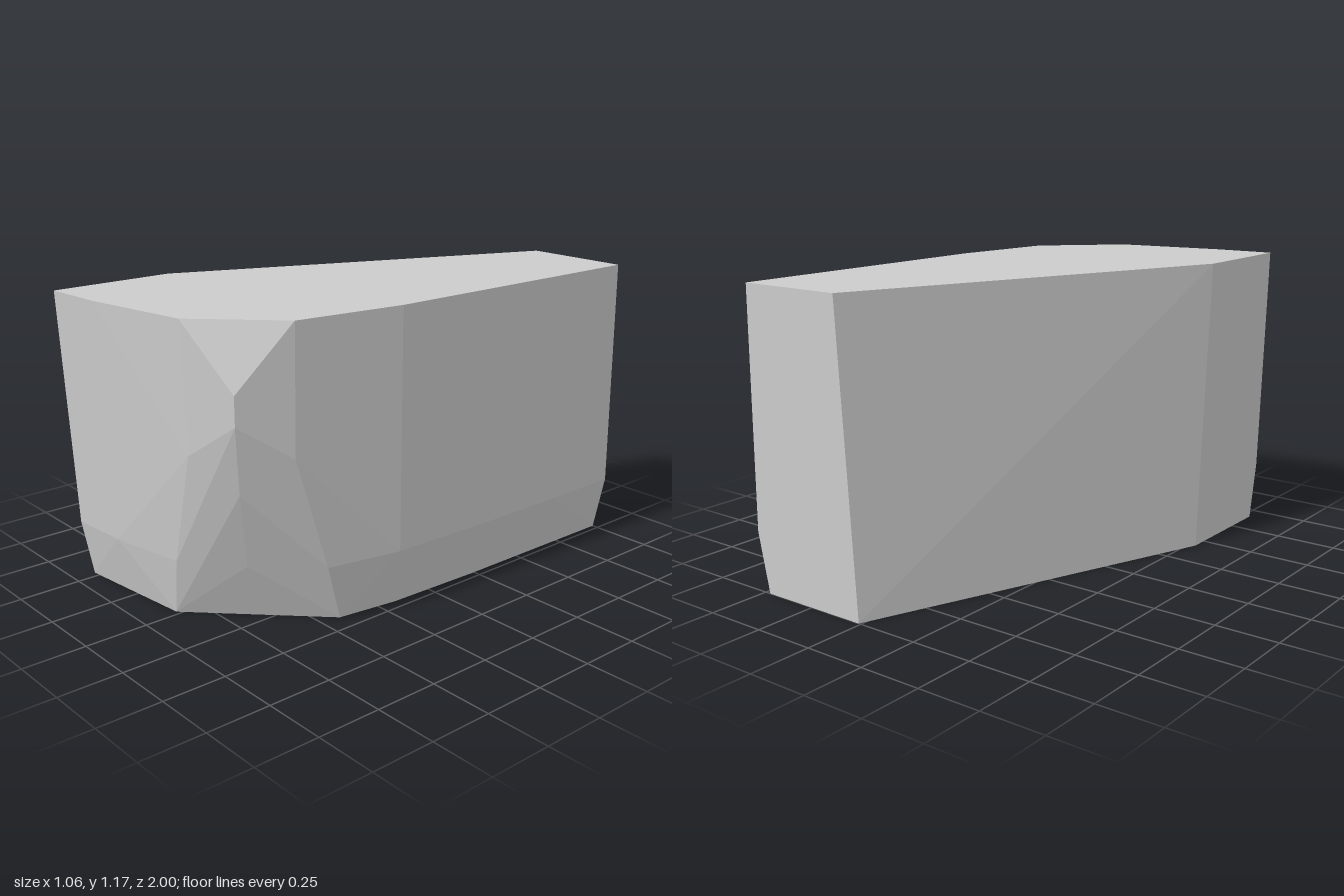
import * as THREE from 'three';
import { ConvexGeometry } from 'three/addons/geometries/ConvexGeometry.js';

const grey = new THREE.MeshStandardMaterial({ color: 0xcccccc });
grey.name = 'stone grey';

// Corners of the faceted block, grouped by height: y -> [x, z] pairs
const levels = [
  // base outline
  [0, [[-0.53, 0.91], [-0.02, 0.855], [0.42, 0.42], [0.455, 0.17], [0.47, -0.24],
    [0.475, -1], [0.01, -1], [-0.53, 0.43]]],
  // top of the lower bevel
  [0.235, [[-0.53, 0.955], [-0.28, 0.937], [0.04, 0.882], [0.25, 0.715], [0.45, 0.5],
    [0.51, 0.2], [0.525, -0.22], [0.53, -0.65], [0.525, -1]]],
  // faceted front corner
  [0.55, [[0.32, 0.79]]],
  [0.68, [[0.17, 0.897], [0.44, 0.635]]],
  [0.82, [[0.367, 0.835]]],
  [0.93, [[0.367, 0.835]]],
  // flat top outline
  [1.17, [[-0.53, 1], [-0.28, 0.983], [0.16, 0.907], [0.44, 0.63], [0.5, 0.19],
    [0.52, -1], [0.08, -1], [-0.53, 0.5]]],
];

export function createModel() {
  const group = new THREE.Group();
  group.name = 'facetedBlock';

  const points = [];
  for (const [y, corners] of levels)
    for (const [x, z] of corners) points.push(new THREE.Vector3(x, y, z));

  // One closed convex body with flat facets
  const block = new THREE.Mesh(new ConvexGeometry(points), grey);
  block.name = 'block';
  group.add(block);
  return group;
}
